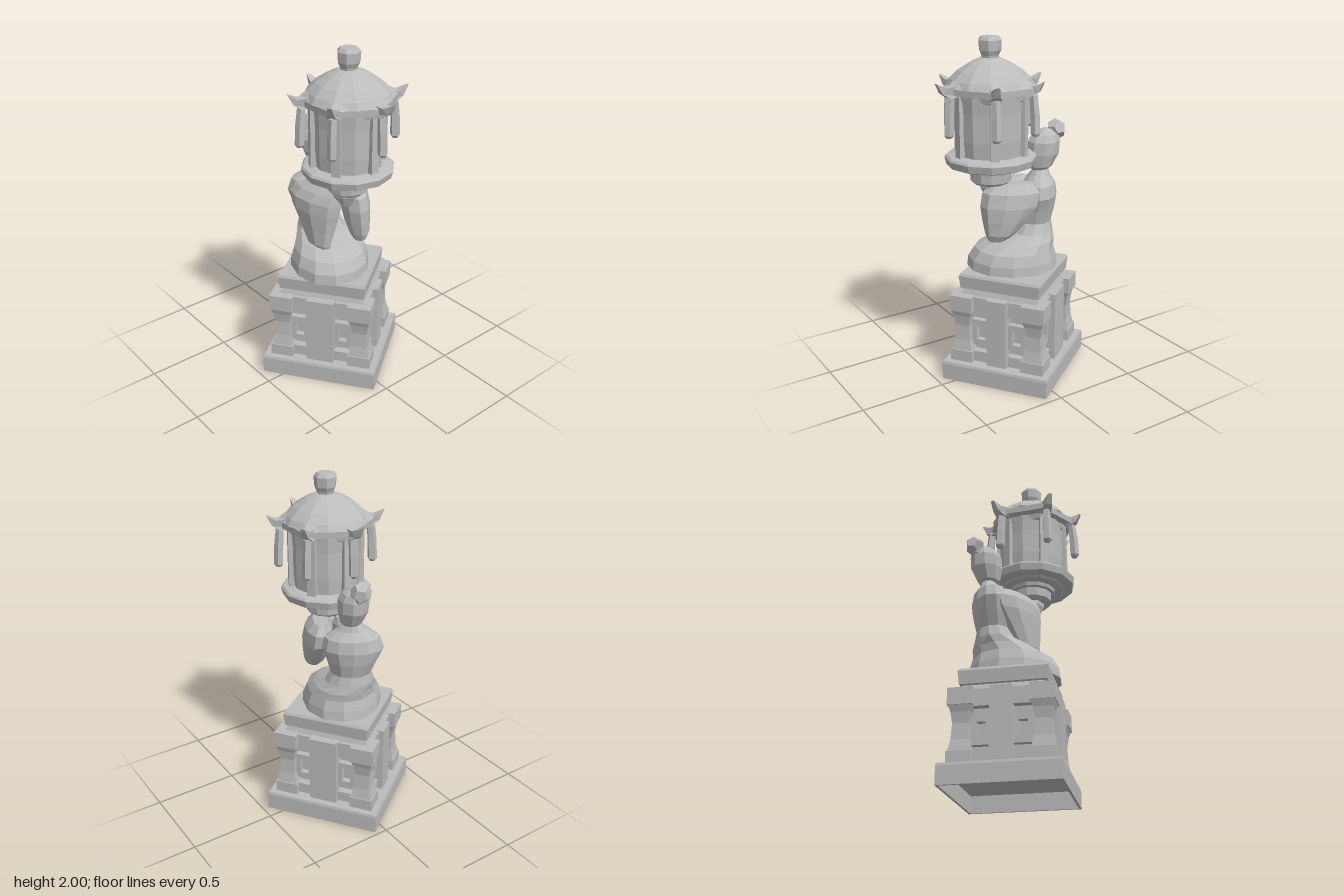
import * as THREE from 'three';

const stone = new THREE.MeshStandardMaterial({ color: 0xbcbcbc, flatShading: true });
stone.name = 'stone';

function add(parent, name, geometry, x = 0, y = 0, z = 0) {
  const mesh = new THREE.Mesh(geometry, stone);
  mesh.name = name;
  mesh.position.set(x, y, z);
  parent.add(mesh);
  return mesh;
}

function box(parent, name, w, y0, y1, d, x = 0, z = 0) {
  return add(parent, name, new THREE.BoxGeometry(w, y1 - y0, d), x, (y0 + y1) / 2, z);
}

// Closed skin over elliptical sections [y, cx, cz, a, b]; a lies along angle phi (x towards z)
function loft(sections, n, phi = 0) {
  const c = Math.cos(phi), s = Math.sin(phi), out = [];
  const point = (sec, j) => {
    const t = (j / n) * Math.PI * 2;
    const u = sec[3] * Math.cos(t), v = sec[4] * Math.sin(t);
    return [sec[1] + u * c - v * s, sec[0], sec[2] + u * s + v * c];
  };
  const bottom = sections[0], top = sections[sections.length - 1];
  for (let j = 0; j < n; j++) {
    for (let i = 0; i < sections.length - 1; i++) {
      const A = point(sections[i], j), B = point(sections[i], j + 1);
      const C = point(sections[i + 1], j), D = point(sections[i + 1], j + 1);
      out.push(...A, ...C, ...B, ...B, ...C, ...D);
    }
    out.push(...point(top, j), top[1], top[0], top[2], ...point(top, j + 1));
    out.push(...point(bottom, j + 1), bottom[1], bottom[0], bottom[2], ...point(bottom, j));
  }
  const g = new THREE.BufferGeometry();
  g.setAttribute('position', new THREE.Float32BufferAttribute(out, 3));
  g.computeVertexNormals();
  return g;
}

// Loft around the y axis from [y, radius] pairs
const turned = (profile, n, phi) => loft(profile.map(([y, r]) => [y, 0, 0, r, r]), n, phi);

// Rectangle with a rectangular hole, extruded along z
function frameGeometry(w, h, hw, hh, depth) {
  const rect = (P, a, b) => {
    const p = new P();
    p.moveTo(-a, -b); p.lineTo(a, -b); p.lineTo(a, b); p.lineTo(-a, b); p.closePath();
    return p;
  };
  const shape = rect(THREE.Shape, w / 2, h / 2);
  shape.holes.push(rect(THREE.Path, hw / 2, hh / 2));
  return new THREE.ExtrudeGeometry(shape, { depth, bevelEnabled: false });
}

function makePedestal() {
  const g = new THREE.Group();
  g.name = 'pedestal';
  g.position.x = -0.01;
  g.rotation.y = 0.62;

  // Box whose bottom and top rectangles differ
  const slab = (name, y0, w0, d0, y1, w1, d1) => {
    const b = new THREE.BoxGeometry(1, y1 - y0, 1), p = b.attributes.position;
    for (let i = 0; i < p.count; i++) {
      const up = p.getY(i) > 0;
      p.setX(i, p.getX(i) * (up ? w1 : w0));
      p.setZ(i, p.getZ(i) * (up ? d1 : d0));
    }
    add(g, name, b, 0, (y0 + y1) / 2, 0);
  };

  // Plinth, hollow underneath, with a worn top edge
  const rim = frameGeometry(0.688, 0.652, 0.66, 0.624, 0.1);
  rim.rotateX(-Math.PI / 2);
  add(g, 'plinthRim', rim);
  slab('plinthTop', 0.1, 0.688, 0.652, 0.115, 0.68, 0.644);
  box(g, 'core', 0.45, 0.11, 0.56, 0.42);
  box(g, 'lowerRail', 0.54, 0.11, 0.18, 0.51);
  box(g, 'upperRail', 0.54, 0.43, 0.525, 0.51);

  // Corner posts with waisted shafts
  const R = Math.SQRT2;
  for (const sx of [-1, 1]) for (const sz of [-1, 1]) {
    const x = sx * 0.236, z = sz * 0.22;
    box(g, 'postFoot', 0.135, 0.11, 0.185, 0.135, x, z);
    add(g, 'postShaft', turned([[0.18, 0.062 * R], [0.25, 0.048 * R], [0.34, 0.043 * R],
      [0.40, 0.052 * R], [0.44, 0.065 * R]], 4, Math.PI / 4), x, 0, z);
    box(g, 'postCap', 0.138, 0.435, 0.53, 0.138, x, z);
  }

  // Middle pillar and two small window frames on each side; narrow sides have slimmer pillars
  for (let k = 0; k < 4; k++) {
    const side = new THREE.Group();
    side.name = 'pedestalSide';
    side.rotation.y = k * Math.PI / 2;
    g.add(side);
    const [core, width, offset] = k % 2 ? [0.225, 0.12, 0.112] : [0.21, 0.165, 0.132];
    box(side, 'pillar', width, 0.11, 0.53, 0.08, 0, core + 0.035);
    for (const s of [-1, 1]) {
      add(side, 'windowFrame', frameGeometry(0.105, 0.16, 0.05, 0.09, 0.035), s * offset, 0.3, core);
    }
  }

  // Neck and seat slab
  slab('neck', 0.52, 0.51, 0.48, 0.56, 0.48, 0.45);
  slab('seatUnderside', 0.55, 0.46, 0.435, 0.58, 0.5, 0.475);
  slab('seatSlab', 0.565, 0.505, 0.48, 0.64, 0.52, 0.495);
  slab('seatTop', 0.64, 0.52, 0.495, 0.655, 0.505, 0.48);
  return g;
}

function makeFigure() {
  const g = new THREE.Group();
  g.name = 'kneelingFigure';
  // Robe spread over the slab, rising to waist, shoulders and neck
  add(g, 'robe', loft([
    [0.65, -0.005, 0.02, 0.268, 0.235], [0.71, -0.005, 0.02, 0.26, 0.23],
    [0.77, -0.015, 0.015, 0.232, 0.21], [0.815, -0.06, 0, 0.19, 0.18],
    [0.86, -0.125, -0.01, 0.122, 0.142], [0.92, -0.14, -0.01, 0.1, 0.118],
    [1.0, -0.155, -0.01, 0.108, 0.145], [1.08, -0.165, -0.015, 0.108, 0.175],
    [1.15, -0.165, -0.02, 0.095, 0.155], [1.195, -0.165, -0.025, 0.06, 0.085],
    [1.23, -0.17, -0.03, 0.045, 0.048], [1.28, -0.18, -0.03, 0.04, 0.042],
  ], 12, 0.55));
  // Hanging sleeves
  add(g, 'rightSleeve', loft([
    [0.79, 0.035, 0.115, 0.045, 0.022], [0.83, 0.01, 0.113, 0.09, 0.045],
    [0.92, -0.015, 0.1, 0.13, 0.065], [1.02, -0.045, 0.09, 0.18, 0.083],
    [1.09, -0.055, 0.082, 0.2, 0.086], [1.14, -0.035, 0.065, 0.185, 0.07],
    [1.18, 0.01, 0.05, 0.135, 0.035],
  ], 9, -0.12));
  add(g, 'leftSleeve', loft([
    [0.86, 0.16, -0.07, 0.045, 0.038], [0.9, 0.14, -0.08, 0.085, 0.06],
    [0.98, 0.11, -0.085, 0.13, 0.078], [1.06, 0.085, -0.09, 0.165, 0.088],
    [1.14, 0.07, -0.09, 0.165, 0.08], [1.19, 0.06, -0.085, 0.12, 0.045],
  ], 9, 0.5));
  add(g, 'hands', loft([[1.1, 0.12, 0.015, 0.06, 0.05], [1.16, 0.13, 0.015, 0.08, 0.075],
    [1.2, 0.14, 0.015, 0.075, 0.07]], 7));
  // Head, hair and bun
  add(g, 'head', loft([
    [1.215, -0.16, -0.03, 0.035, 0.035], [1.245, -0.168, -0.03, 0.068, 0.062],
    [1.32, -0.183, -0.03, 0.095, 0.084], [1.39, -0.19, -0.03, 0.094, 0.087],
    [1.43, -0.2, -0.032, 0.075, 0.068], [1.46, -0.21, -0.033, 0.03, 0.03],
  ], 9, 0.3));
  const hair = add(g, 'hairKnot', new THREE.IcosahedronGeometry(0.05, 0), -0.25, 1.42, -0.036);
  hair.rotation.z = 0.6;
  const bun = add(g, 'bun', new THREE.DodecahedronGeometry(0.06, 0), -0.27, 1.45, -0.04);
  bun.rotation.set(0.2, 0.4, 0.3);
  return g;
}

function makeLantern() {
  const g = new THREE.Group();
  g.name = 'lantern';
  g.position.set(0.143, 0, 0.012);
  add(g, 'stem', turned([[1.185, 0.1], [1.2, 0.115], [1.25, 0.118], [1.255, 0.135],
    [1.275, 0.14], [1.28, 0.185], [1.3, 0.2]], 12));
  add(g, 'tray', turned([[1.292, 0.238], [1.298, 0.25], [1.338, 0.26], [1.35, 0.25], [1.36, 0.205]], 12));
  add(g, 'body', turned([[1.35, 0.19], [1.45, 0.198], [1.6, 0.198], [1.71, 0.205]], 12));
  add(g, 'upperPanelRail', turned([[1.66, 0.2], [1.67, 0.218], [1.7, 0.225]], 6));
  add(g, 'eave', turned([[1.7, 0.24], [1.705, 0.27], [1.74, 0.272], [1.775, 0.235]], 6));
  add(g, 'roof', turned([[1.74, 0.245], [1.775, 0.225], [1.82, 0.178], [1.86, 0.115],
    [1.885, 0.06], [1.89, 0.03]], 12));
  add(g, 'finial', turned([[1.87, 0.045], [1.9, 0.05], [1.925, 0.062], [1.98, 0.065], [2, 0.05]], 7));

  // Upturned roof horn, tapering to its tip
  const s = new THREE.Shape([[0.18, 1.7], [0.27, 1.695], [0.31, 1.72], [0.34, 1.775],
    [0.285, 1.75], [0.24, 1.755], [0.19, 1.79]].map(([x, y]) => new THREE.Vector2(x, y)));
  const horn = new THREE.ExtrudeGeometry(s, { depth: 0.07, bevelEnabled: false });
  horn.translate(0, 0, -0.035);
  const p = horn.attributes.position;
  for (let i = 0; i < p.count; i++) p.setZ(i, p.getZ(i) * Math.min(1, (0.38 - p.getX(i)) / 0.12));

  // Slightly uneven corners [degrees, horn reach], each with post, horn and hanging tassel
  const corners = [[2, 1], [65, 0.97], [124, 0.93], [181, 0.99], [246, 0.97], [302, 0.92]];
  for (const [angle, reach] of corners) {
    const corner = new THREE.Group();
    corner.name = 'lanternCorner';
    corner.rotation.y = angle * Math.PI / 180;
    g.add(corner);
    add(corner, 'roofHorn', horn).scale.x = reach;
    box(corner, 'lanternPost', 0.035, 1.35, 1.71, 0.05, 0.198, 0);
    add(corner, 'tassel', loft([[1.475, 0.268, 0, 0.016, 0.016], [1.49, 0.268, 0, 0.028, 0.028],
      [1.6, 0.264, 0, 0.027, 0.027], [1.7, 0.255, 0, 0.024, 0.024]], 5));
  }
  return g;
}

export function createModel() {
  const model = new THREE.Group();
  model.name = 'stoneLanternStatue';
  model.add(makePedestal(), makeFigure(), makeLantern());
  return model;
}
